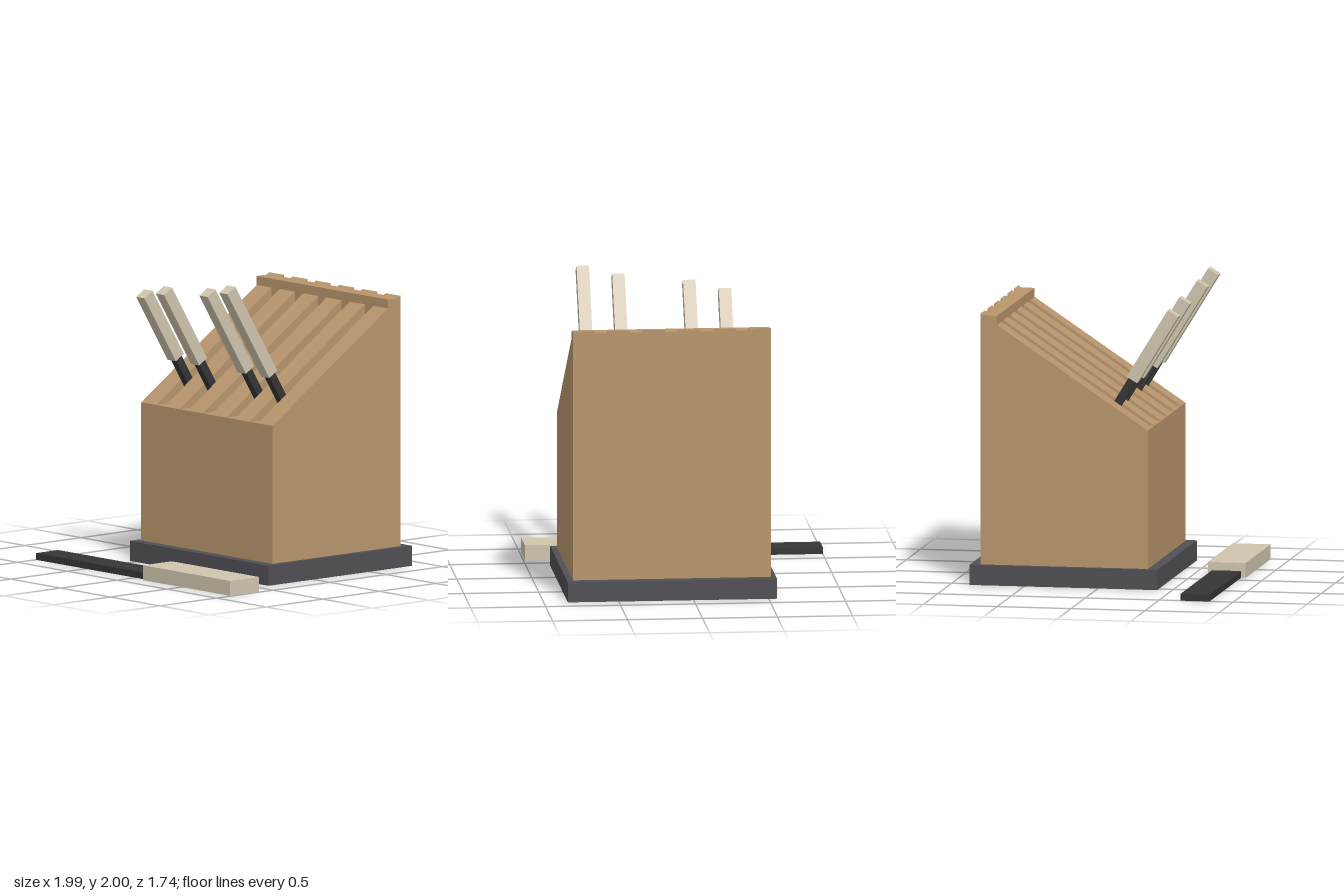
import * as THREE from 'three';

export function createModel() {
  const model = new THREE.Group();
  model.name = 'knifeBlock';

  const paint = (name, color) => {
    const m = new THREE.MeshStandardMaterial({ color });
    m.name = name;
    return m;
  };
  const wood = paint('wood', 0xb8956c);
  const slate = paint('slateGrey', 0x505055);
  const black = paint('blackSteel', 0x353535);
  const cream = paint('creamHandle', 0xd0c5ae);

  // Box given by its lower and upper limits on each axis
  const box = (name, mat, [x0, x1], [y0, y1], [z0, z1], parent = model) => {
    const mesh = new THREE.Mesh(new THREE.BoxGeometry(x1 - x0, y1 - y0, z1 - z0), mat);
    mesh.position.set((x0 + x1) / 2, (y0 + y1) / 2, (z0 + z1) / 2);
    mesh.name = name;
    parent.add(mesh);
    return mesh;
  };

  const floor = 0.135, front = 0.33, back = -0.80;
  box('base', slate, [-0.555, 0.84], [0, floor], [-0.87, 0.40]);

  // Block: six upright ribs with a sloped top, five open slots between them
  const block = new THREE.Group();
  block.name = 'block';
  model.add(block);
  const left = -0.52, right = 0.80, slotWidth = 0.083;
  const slots = [0, 1, 2, 3, 4].map((i) => -0.37 + i * 0.235);

  // Side profile as (z, y)
  const profile = new THREE.Shape([
    [front, floor], [front, 1.063], [-0.69, 1.745], [-0.69, 1.805],
    [-0.78, 1.805], [back, 1.819], [back, floor],
  ].map(([z, y]) => new THREE.Vector2(z, y)));

  for (let i = 0; i <= slots.length; i++) {
    const x0 = i === 0 ? left : slots[i - 1] + slotWidth;
    const x1 = i === slots.length ? right : slots[i];
    const geo = new THREE.ExtrudeGeometry(profile, { depth: x1 - x0, bevelEnabled: false });
    geo.rotateY(-Math.PI / 2);
    const rib = new THREE.Mesh(geo, wood);
    rib.position.x = x1;
    rib.name = 'rib';
    block.add(rib);
  }

  // Front and back walls closing each slot
  for (const x of slots) {
    box('slotFrontWall', wood, [x, x + slotWidth], [floor, 1.063], [0.20, front], block);
    box('slotBackWall', wood, [x, x + slotWidth], [floor, 1.805], [back, -0.69], block);
  }

  // Four knives leaning forward out of the slots; the middle slot is empty
  const tilt = Math.atan2(0.523, 0.852);
  const knives = [[0, 0.531], [1, 0.594], [3, 0.648], [4, 0.707]];
  for (const [slot, length] of knives) {
    const knife = new THREE.Group();
    knife.name = 'knife';
    knife.position.set(slots[slot] + slotWidth / 2, 1.378, 0.193);
    knife.rotation.x = tilt;
    model.add(knife);
    box('handle', cream, [-0.0415, 0.0415], [0, length], [-0.0415, 0.0415], knife);
    box('blade', black, [-0.028, 0.028], [-1.438, 0], [-0.027, 0.027], knife);
  }

  // Knife lying in front of the block
  const loose = new THREE.Group();
  loose.name = 'looseKnife';
  model.add(loose);
  box('looseBlade', black, [-1, 0.112], [0, 0.045], [0.643, 0.84], loose);
  box('looseHandle', cream, [0.112, 0.99], [0, 0.10], [0.614, 0.87], loose);

  return model;
}
